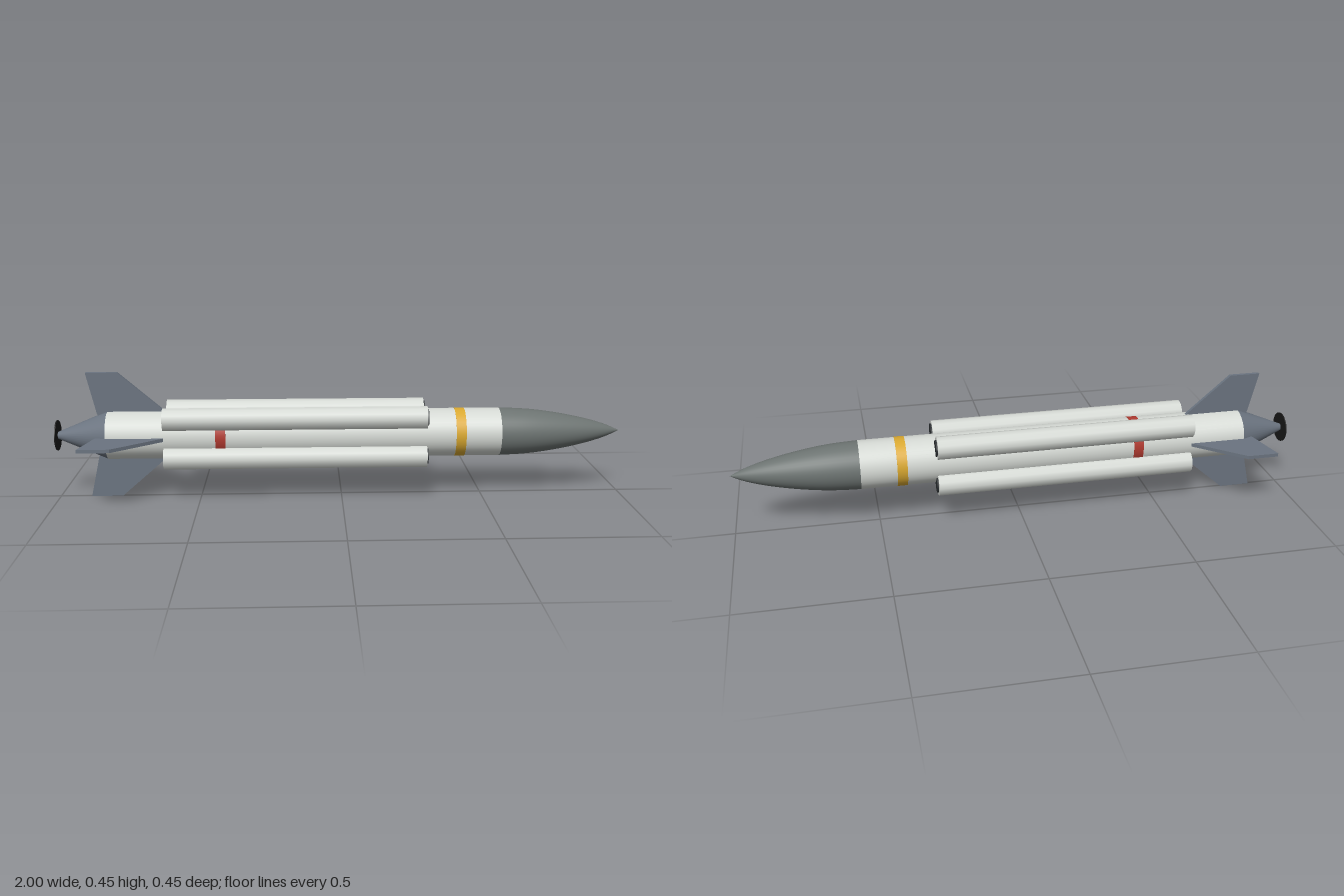
import * as THREE from 'three';

const AXIS_Y = 0.224;
const paint = (color) => new THREE.MeshStandardMaterial({ color });

export function createModel() {
  const root = new THREE.Group();
  root.name = 'missile';
  const rocket = new THREE.Group();
  rocket.name = 'rocket';
  rocket.position.y = AXIS_Y;
  root.add(rocket);

  const white = paint(0xd4d8d3);
  const noseGrey = paint(0x6c7371);
  const steel = paint(0x6b7480);
  const dark = paint(0x2c3033);
  const black = paint(0x1a1a1a);
  const yellow = paint(0xd9a830);
  const red = paint(0xb03a30);

  const add = (name, geometry, material, parent = rocket) => {
    const mesh = new THREE.Mesh(geometry, material);
    mesh.name = name;
    parent.add(mesh);
    return mesh;
  };

  // Cylinder along x from x0 (radius r0) to x1 (radius r1)
  const tube = (x0, x1, r0, r1, sides = 40, open = false) =>
    new THREE.CylinderGeometry(r1, r0, x1 - x0, sides, 1, open)
      .rotateZ(-Math.PI / 2)
      .translate((x0 + x1) / 2, 0, 0);

  // Fuselage and painted bands
  add('body', tube(-0.82, 0.56, 0.085, 0.085), white);
  add('yellowBand', tube(0.4, 0.435, 0.0862, 0.0862), yellow);
  add('redBand', tube(-0.44, -0.405, 0.0862, 0.0862), red);

  // Curved nose cone, lathed about the long axis
  const ogive = new THREE.SplineCurve([
    [0.085, 0.56], [0.08, 0.66], [0.067, 0.76], [0.047, 0.86], [0.024, 0.94], [0, 0.995],
  ].map(([r, x]) => new THREE.Vector2(r, x)));
  const noseProfile = ogive.getPoints(20);
  add('nose', new THREE.LatheGeometry(noseProfile, 40).rotateZ(-Math.PI / 2), noseGrey);

  // Tapered tail with nozzle disc
  add('tailCone', tube(-0.997, -0.82, 0.012, 0.085), steel);
  add('nozzleDisc', tube(-1, -0.996, 0.053, 0.053, 32), black);

  // Four swept tail fins
  const finShape = new THREE.Shape([
    [-0.62, 0.085], [-0.78, 0.2235], [-0.89, 0.2235], [-0.857, 0.08], [-0.85, 0.06], [-0.62, 0.06],
  ].map(([x, y]) => new THREE.Vector2(x, y)));
  const finGeometry = new THREE.ExtrudeGeometry(finShape, { depth: 0.012, bevelEnabled: false })
    .translate(0, 0, -0.006);

  // Four strap-on boosters between the fins, each with a dark front plug
  const boosterGeometry = tube(-0.62, 0.297, 0.04, 0.04, 12);
  const plugGeometry = tube(0.28, 0.302, 0.029, 0.029, 12);

  for (let i = 0; i < 4; i++) {
    const angle = (i * Math.PI) / 2;
    add('fin', finGeometry, steel).rotation.x = angle;

    const booster = new THREE.Group();
    booster.name = 'booster';
    const around = angle + Math.PI / 4;
    booster.position.set(0, Math.cos(around) * 0.098, Math.sin(around) * 0.098);
    add('boosterTube', boosterGeometry, white, booster);
    add('boosterPlug', plugGeometry, dark, booster);
    rocket.add(booster);
  }

  return root;
}
